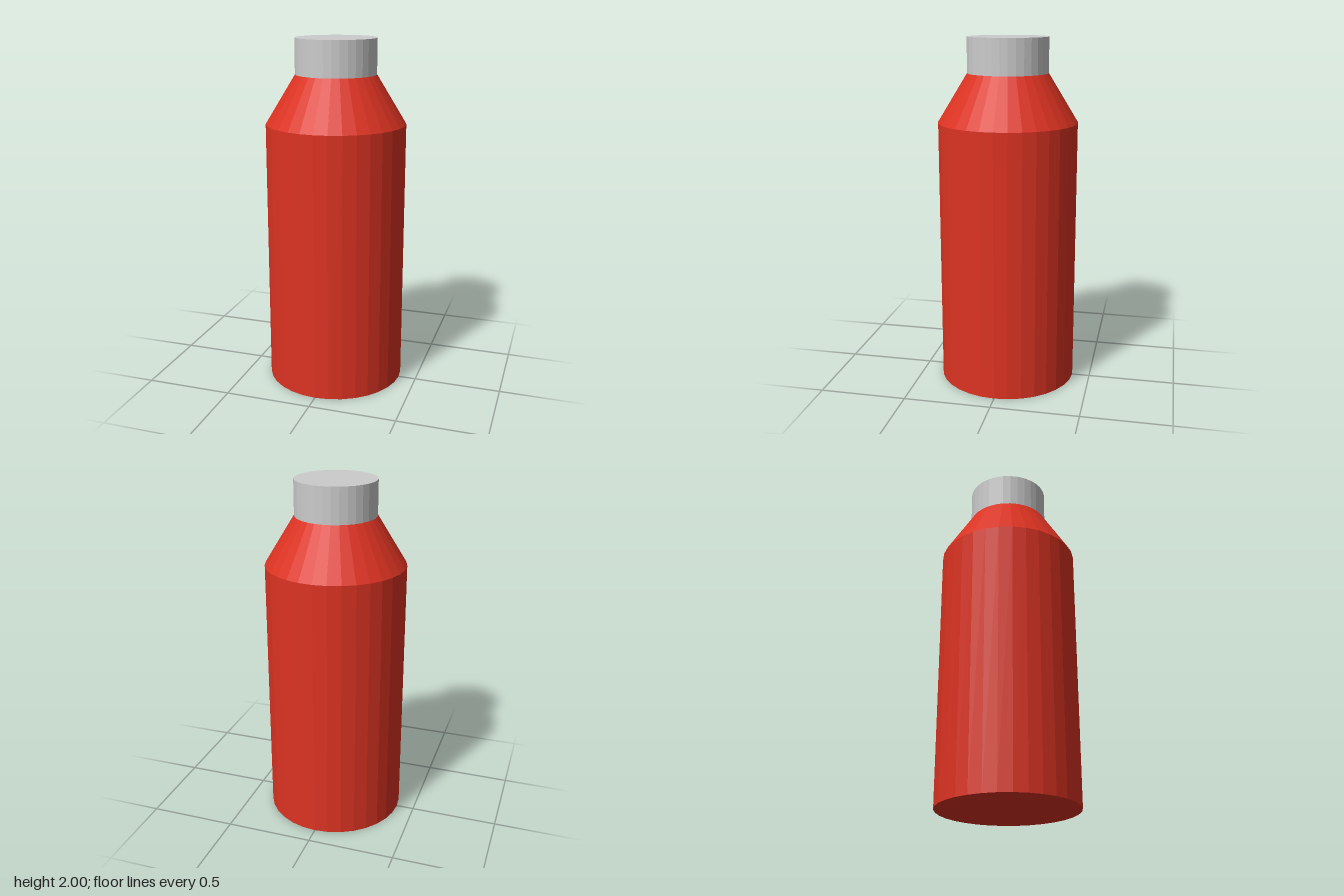
import * as THREE from 'three';

const SIDES = 32;
const BODY_RADIUS = 0.397;
const NECK_RADIUS = 0.229;
const SHOULDER_Y = 1.525;
const NECK_Y = 1.8;
const TOP_Y = 2;

// Faceted upright ring section between two heights
function section(name, material, bottomRadius, topRadius, y0, y1, open = false) {
  const geometry = new THREE.CylinderGeometry(topRadius, bottomRadius, y1 - y0, SIDES, 1, open);
  const mesh = new THREE.Mesh(geometry, material);
  mesh.name = name;
  mesh.position.y = (y0 + y1) / 2;
  return mesh;
}

export function createModel() {
  const red = new THREE.MeshStandardMaterial({ color: 0xdd3322, flatShading: true });
  const grey = new THREE.MeshStandardMaterial({ color: 0xcccccc, flatShading: true });

  const bottle = new THREE.Group();
  bottle.name = 'bottle';
  bottle.add(
    // Straight body, closed at the base
    section('body', red, BODY_RADIUS, BODY_RADIUS, 0, SHOULDER_Y),
    // Tapered shoulder
    section('shoulder', red, BODY_RADIUS, NECK_RADIUS, SHOULDER_Y, NECK_Y, true),
    // Cap
    section('cap', grey, NECK_RADIUS, NECK_RADIUS, NECK_Y, TOP_Y)
  );
  return bottle;
}
